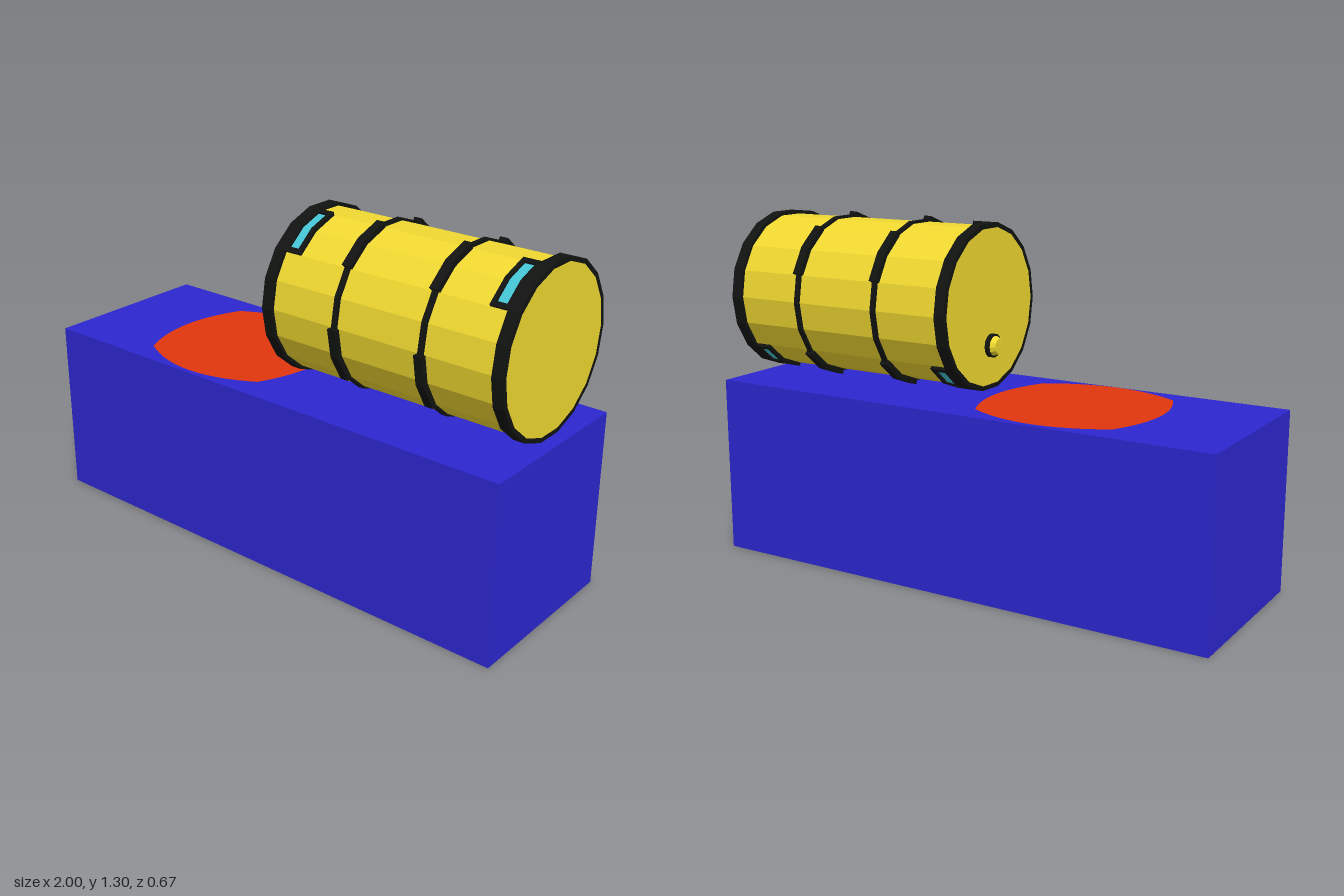
import * as THREE from 'three';

const SIDES = 18;
const STEP = 360 / SIDES;
const rad = THREE.MathUtils.degToRad;

const material = (color, extra = {}) =>
  Object.assign(new THREE.MeshStandardMaterial({ color, flatShading: true }), extra);

// Point on the 18-sided outline; the angle starts at the front (+z) and rises to +y
function outlinePoint(radius, angle) {
  const middle = Math.floor(angle / STEP) * STEP + STEP / 2;
  const r = radius * Math.cos(rad(STEP / 2)) / Math.cos(rad(angle - middle));
  return new THREE.Vector2(-r * Math.cos(rad(angle)), r * Math.sin(rad(angle)));
}

// Outline points from a0 to a1, with every polygon corner in between
function outline(radius, a0, a1) {
  const points = [outlinePoint(radius, a0)];
  for (let a = (Math.floor(a0 / STEP) + 1) * STEP; a < a1; a += STEP) points.push(outlinePoint(radius, a));
  if (a1 - a0 < 360) points.push(outlinePoint(radius, a1));
  return points;
}

// Curved bar (or closed ring) around the barrel axis between x0 and x1
function hoop(inner, outer, x0, x1, a0 = 0, a1 = 360) {
  let shape;
  if (a1 - a0 === 360) {
    shape = new THREE.Shape(outline(outer, a0, a1));
    shape.holes.push(new THREE.Path(outline(inner, a0, a1)));
  } else {
    shape = new THREE.Shape([...outline(outer, a0, a1), ...outline(inner, a0, a1).reverse()]);
  }
  const geometry = new THREE.ExtrudeGeometry(shape, { depth: x1 - x0, bevelEnabled: false });
  return geometry.rotateY(Math.PI / 2).translate(x0, 0, 0);
}

// Cylinder lying along x
function disc(rLow, rHigh, x0, x1, sides) {
  return new THREE.CylinderGeometry(rHigh, rLow, x1 - x0, sides)
    .rotateZ(-Math.PI / 2).translate((x0 + x1) / 2, 0, 0);
}

export function createModel() {
  const model = new THREE.Group();
  model.name = 'barrelOnBlock';
  const blue = material(0x2d26d0);
  const red = material(0xe0360e, { side: THREE.DoubleSide });
  const yellow = material(0xf0d830);
  const black = material(0x111311);
  const cyan = material(0x45c4d4);

  const add = (parent, name, geometry, mat) => {
    const mesh = new THREE.Mesh(geometry, mat);
    mesh.name = name;
    parent.add(mesh);
    return mesh;
  };

  // Base block
  add(model, 'block', new THREE.BoxGeometry(2, 0.67, 0.667).translate(0, 0.335, 0), blue);

  // Flat patch with four bowed edges
  const patch = new THREE.Shape();
  patch.moveTo(-0.265, -0.24);
  patch.quadraticCurveTo(0, -0.4, 0.265, -0.24);
  patch.quadraticCurveTo(0.385, 0, 0.265, 0.24);
  patch.quadraticCurveTo(0, 0.4, -0.265, 0.24);
  patch.quadraticCurveTo(-0.385, 0, -0.265, -0.24);
  add(model, 'redPatch', new THREE.ShapeGeometry(patch, 16).rotateX(-Math.PI / 2), red)
    .position.set(-0.335, 0.673, 0);

  // Barrel lying on its side
  const barrel = new THREE.Group();
  barrel.name = 'barrel';
  barrel.position.set(0, 0.99, -0.004);
  model.add(barrel);
  add(barrel, 'drum', disc(0.291, 0.291, 0.014, 0.969, SIDES).rotateX(0), yellow);

  // End rims
  add(barrel, 'rightRim', hoop(0.287, 0.304, 0.013, 0.055), black);
  add(barrel, 'leftRim', hoop(0.287, 0.304, 0.928, 0.97), black);

  // Two hoops, each with four thicker clamps
  for (const x of [0.32, 0.664]) {
    add(barrel, 'hoop', hoop(0.285, 0.3, x - 0.01, x + 0.01), black);
    for (const a of [40, 120, 220, 320]) {
      add(barrel, 'hoopClamp', hoop(0.285, 0.312, x - 0.016, x + 0.016, a, a + 40), black);
    }
  }

  // Framed windows beside the rims, on opposite sides of the drum
  for (const a of [40, 220]) {
    for (const [x0, x1] of [[0.05, 0.12], [0.863, 0.933]]) {
      const frame = 0.016;
      add(barrel, 'windowPane', hoop(0.285, 0.297, x0 + frame, x1 - frame, a + 3, a + 37), cyan);
      for (const s of [x0, x1 - frame]) {
        add(barrel, 'windowSide', hoop(0.285, 0.304, s, s + frame, a, a + 40), black);
      }
      for (const e of [a, a + 36.5]) {
        add(barrel, 'windowEnd', hoop(0.285, 0.304, x0, x1, e, e + 3.5), black);
      }
    }
  }

  // Plug on the right end
  const plug = new THREE.Group();
  plug.name = 'plug';
  plug.position.set(0, -0.14, 0.004);
  barrel.add(plug);
  add(plug, 'plugCollar', disc(0.044, 0.044, -0.003, 0.016, 12), black);
  add(plug, 'plugKnob', disc(0.028, 0.038, -0.022, 0, 12), yellow);

  return model;
}
